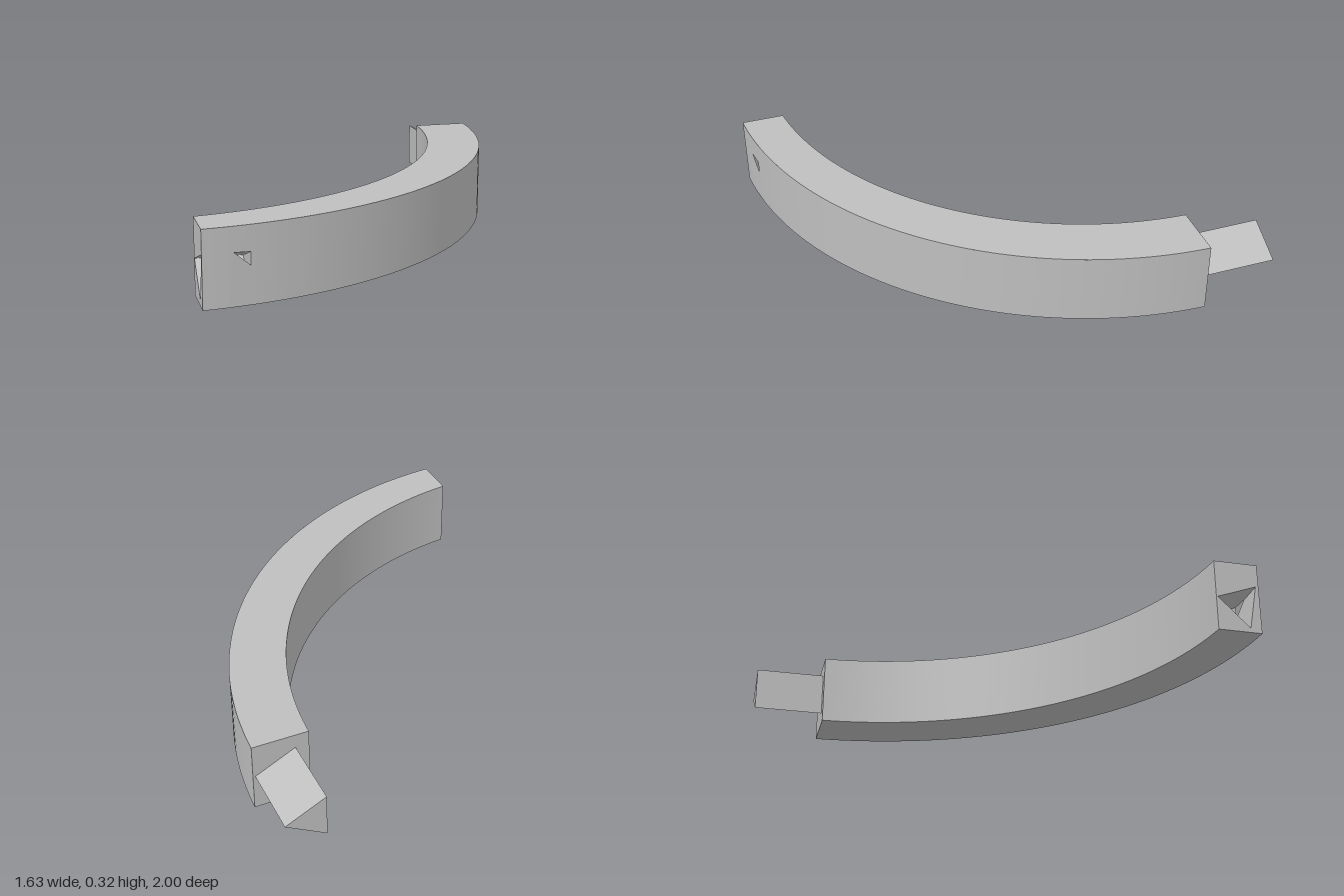
import * as THREE from 'three';

const H = 0.325;                 // bar height
const X0 = -0.815, Z1 = -0.68;   // planes of the socket end and the tenon end
const DEPTH_X = -0.62;           // bottom of the socket
const OUTER = { x: -0.93, z: -0.737, r: 1.741 };
const INNER = { x: -0.998, z: -0.743, r: 1.559 };

const angleAtX = (c, x) => Math.asin((x - c.x) / c.r);
const angleAtZ = (c, z) => Math.acos((z - c.z) / c.r);
const zAt = (c, x) => c.z + Math.sqrt(c.r ** 2 - (x - c.x) ** 2);
const xAt = (c, z) => c.x + Math.sqrt(c.r ** 2 - (z - c.z) ** 2);
const v2 = (x, y) => new THREE.Vector2(x, y);
const v3 = (x, y, z) => new THREE.Vector3(x, y, z);

// Plan points [x, z] along a circle between two angles
function arc(c, a0, a1, n) {
  return Array.from({ length: n + 1 }, (_, i) => {
    const a = a0 + (a1 - a0) * i / n;
    return [c.x + c.r * Math.sin(a), c.z + c.r * Math.cos(a)];
  });
}

// Upright curved wall following plan points
function wall(points) {
  const pos = [], idx = [];
  points.forEach(([x, z], i) => {
    pos.push(x, 0, z, x, H, z);
    const a = i * 2;
    if (i < points.length - 1) idx.push(a, a + 2, a + 3, a, a + 3, a + 1);
  });
  const g = new THREE.BufferGeometry();
  g.setAttribute('position', new THREE.Float32BufferAttribute(pos, 3));
  g.setIndex(idx);
  g.computeVertexNormals();
  return g;
}

// Flat convex polygon
function polygon(pts) {
  const tris = [];
  for (let i = 1; i < pts.length - 1; i++) tris.push(pts[0], pts[i], pts[i + 1]);
  const g = new THREE.BufferGeometry().setFromPoints(tris);
  g.computeVertexNormals();
  return g;
}

export function createModel() {
  const group = new THREE.Group();
  const grey = new THREE.MeshStandardMaterial({ color: 0xbfbfbf, side: THREE.DoubleSide });
  grey.name = 'light grey';
  const add = (name, geometry) => {
    const mesh = new THREE.Mesh(geometry, grey);
    mesh.name = name;
    group.add(mesh);
  };

  // Top and bottom of the curved bar
  const outerStart = angleAtX(OUTER, X0), outerEnd = angleAtZ(OUTER, Z1);
  const innerArc = arc(INNER, angleAtX(INNER, X0), angleAtZ(INNER, Z1), 64);
  const plan = [...arc(OUTER, outerStart, outerEnd, 64), ...innerArc.slice().reverse()];
  add('barTop', new THREE.ShapeGeometry(new THREE.Shape(plan.map(([x, z]) => v2(x, -z))))
    .rotateX(-Math.PI / 2).translate(0, H, 0));
  add('barBottom', new THREE.ShapeGeometry(new THREE.Shape(plan.map(([x, z]) => v2(x, z))))
    .rotateX(Math.PI / 2));

  // Curved walls; the outer one leaves room for the pierced panel
  const panelL = -0.71, panelR = -0.6;
  add('innerWall', wall(innerArc.slice().reverse()));
  add('outerWallShort', wall(arc(OUTER, outerStart, angleAtX(OUTER, panelL), 6)));
  add('outerWallLong', wall(arc(OUTER, angleAtX(OUTER, panelR), outerEnd, 60)));

  // Socket triangle as (z, y): A breaks out through the outer wall
  const A = v2(0.987, 0.22), B = v2(0.95, 0.02), C = v2(0.812, 0.155);
  const skinZ = zAt(OUTER, DEPTH_X);
  const cut = (end) => A.clone().lerp(end, (A.x - skinZ) / (A.x - end.x));
  const P = cut(B), Q = cut(C), breakX = xAt(OUTER, A.x);
  const exitX = OUTER.x + Math.sqrt(OUTER.r ** 2 - (A.x - OUTER.z) ** 2);
  const at = (p, x) => v3(x, p.y, p.x);

  // Panel of the outer wall with the small triangular opening
  const panel = new THREE.Shape([v2(panelL, 0), v2(panelR, 0), v2(panelR, H), v2(panelL, H)]);
  panel.holes.push(new THREE.Path([v2(breakX, A.y), v2(DEPTH_X, Q.y), v2(DEPTH_X, P.y)]));
  const panelGeo = new THREE.ShapeGeometry(panel);
  const pos = panelGeo.attributes.position;
  for (let i = 0; i < pos.count; i++) pos.setZ(i, zAt(OUTER, pos.getX(i)));
  panelGeo.computeVertexNormals();
  add('outerWallPanel', panelGeo);

  // End face around the socket
  const zi = zAt(INNER, X0), zo = zAt(OUTER, X0);
  const end = new THREE.Shape([v2(zi, 0), v2(zo, 0), v2(zo, H), v2(zi, H)]);
  end.holes.push(new THREE.Path([A, B, C]));
  add('socketEnd', new THREE.ShapeGeometry(end).rotateY(-Math.PI / 2).translate(X0, 0, 0));

  // Socket interior, trimmed where it meets the outer wall
  add('socketOuterFace', polygon([at(A, X0), at(B, X0), at(B, DEPTH_X), at(P, DEPTH_X), at(A, exitX)]));
  add('socketLowerFace', polygon([at(B, X0), at(C, X0), at(C, DEPTH_X), at(B, DEPTH_X)]));
  add('socketUpperFace', polygon([at(C, X0), at(A, X0), at(A, exitX), at(Q, DEPTH_X), at(C, DEPTH_X)]));
  add('socketFloor', polygon([P, Q, C, B].map((p) => at(p, DEPTH_X))));

  // End face behind the tenon
  const xi = xAt(INNER, Z1), xo = xAt(OUTER, Z1);
  add('tenonEnd', polygon([v3(xo, 0, Z1), v3(xi, 0, Z1), v3(xi, H, Z1), v3(xo, H, Z1)]));

  // Triangular tenon
  const tri = new THREE.Shape([v2(0.62, 0.06), v2(0.8, 0.168), v2(0.62, 0.26)]);
  add('tenon', new THREE.ExtrudeGeometry(tri, { depth: Z1 + 1, bevelEnabled: false }).translate(0, 0, -1));

  return group;
}
